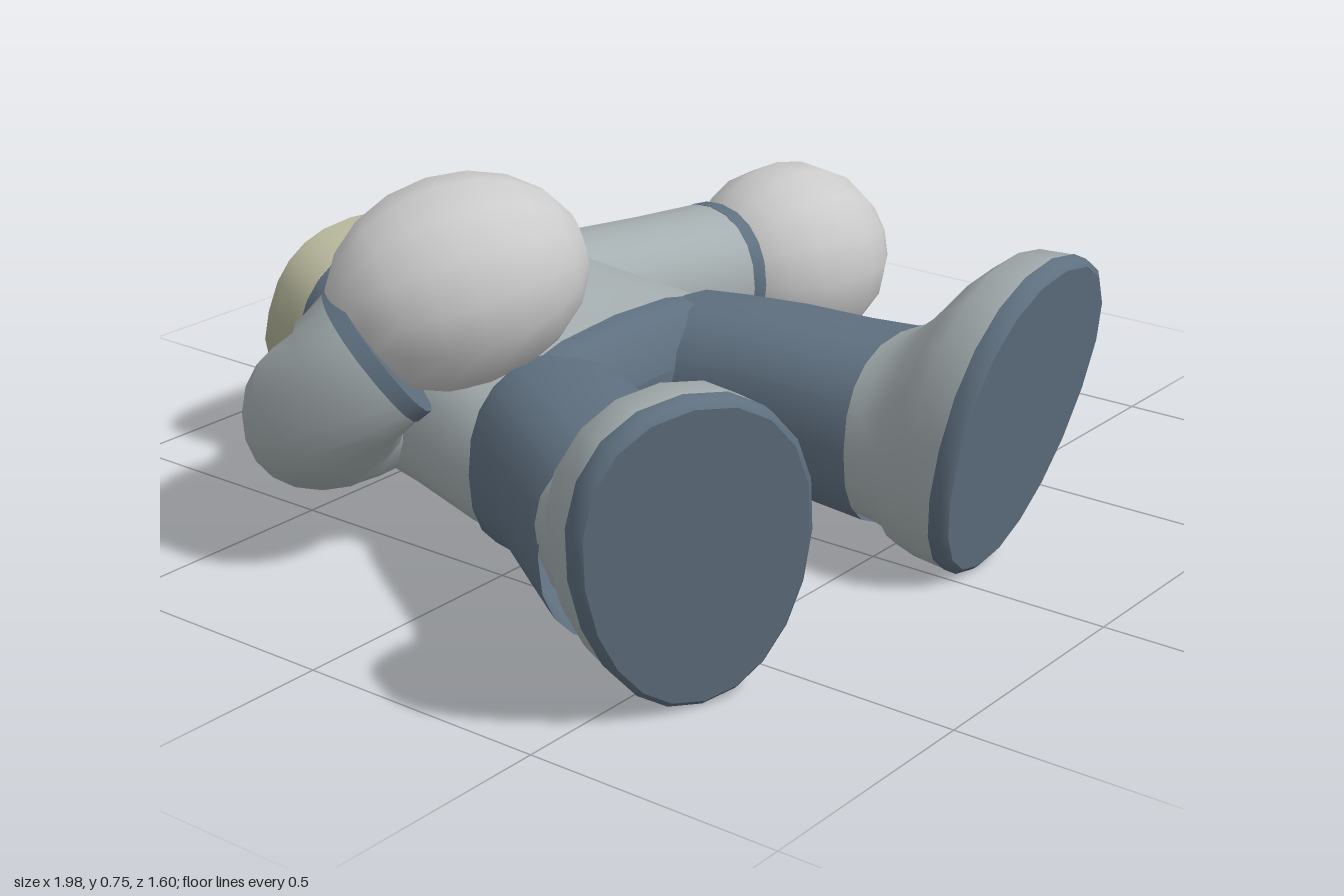
import * as THREE from 'three';

const mat = (color) => new THREE.MeshStandardMaterial({ color, side: THREE.DoubleSide });
const SIDES = 20;

// Skin through cross-sections [x, y, z, halfWidth, halfHeight, direction?].
// opt: power (superellipse), shear and taper (egg outlines), cap (close the end)
function loft(sections, { power = 2.2, shear = 0, taper = 0, cap = false } = {}) {
  const centres = sections.map((s) => new THREE.Vector3(s[0], s[1], s[2]));
  const pos = [], index = [];
  const bend = (t) => Math.sign(t) * Math.abs(t) ** (2 / power);
  sections.forEach((s, i) => {
    const d = s[5]
      ? new THREE.Vector3(...s[5])
      : centres[Math.min(i + 1, centres.length - 1)].clone().sub(centres[Math.max(i - 1, 0)]);
    d.normalize();
    const side = new THREE.Vector3(0, 1, 0).cross(d).normalize();
    const up = d.clone().cross(side);
    for (let j = 0; j < SIDES; j++) {
      const a = (j / SIDES) * Math.PI * 2;
      const v = bend(Math.sin(a));
      const w = bend(Math.cos(a)) * s[3] * (1 + taper * v) + shear * v * s[4];
      const p = centres[i].clone().addScaledVector(side, w).addScaledVector(up, v * s[4]);
      pos.push(p.x, p.y, p.z);
    }
  });
  for (let i = 0; i < sections.length - 1; i++) {
    for (let j = 0; j < SIDES; j++) {
      const k = (j + 1) % SIDES;
      const a = i * SIDES + j, b = i * SIDES + k;
      index.push(a, b, b + SIDES, a, b + SIDES, a + SIDES);
    }
  }
  if (cap) {
    // separate rim vertices keep the edge of the end face sharp
    const last = (sections.length - 1) * SIDES, rim = pos.length / 3;
    pos.push(...pos.slice(last * 3));
    pos.push(...centres[centres.length - 1].toArray());
    for (let j = 0; j < SIDES; j++) index.push(rim + SIDES, rim + j, rim + ((j + 1) % SIDES));
  }
  const g = new THREE.BufferGeometry();
  g.setAttribute('position', new THREE.Float32BufferAttribute(pos, 3));
  g.setIndex(index);
  g.computeVertexNormals();
  return g;
}

export function createModel() {
  const model = new THREE.Group();
  const cloth = mat(0xa5aeb0), dark = mat(0x5f7080), beige = mat(0xb2b298);
  const skin = new THREE.MeshStandardMaterial({ color: 0xcccccc });
  const add = (name, geometry, material, parent = model) => {
    const mesh = new THREE.Mesh(geometry, material);
    mesh.name = name;
    parent.add(mesh);
    return mesh;
  };

  // Torso, lying on its back with the neck towards -z
  const neckDir = [0, -0.32, 0.95], fwd = [0, 0, 1];
  add('shirt', loft([
    [-0.17, 0.31, -0.635, 0.185, 0.168, neckDir],
    [-0.17, 0.305, -0.6, 0.2, 0.178, [0, -0.25, 0.97]],
    [-0.17, 0.29, -0.54, 0.27, 0.193, [0, -0.15, 0.99]],
    [-0.16, 0.275, -0.42, 0.325, 0.202, [0, -0.05, 1]],
    [-0.16, 0.26, -0.25, 0.355, 0.208, fwd],
    [-0.16, 0.235, -0.08, 0.39, 0.208, fwd],
    [-0.16, 0.228, 0, 0.405, 0.206, fwd],
  ], { power: 2.5 }), cloth);
  add('neckBand', loft([
    [-0.17, 0.314, -0.667, 0.183, 0.167, neckDir],
    [-0.17, 0.31, -0.635, 0.185, 0.168, neckDir],
  ], { power: 2.5 }), dark);
  add('collar', loft([
    [-0.17, 0.335, -0.745, 0.188, 0.173, neckDir],
    [-0.17, 0.33, -0.72, 0.192, 0.174, neckDir],
    [-0.17, 0.314, -0.66, 0.191, 0.172, neckDir],
  ], { power: 2.6 }), beige);

  // Trousers
  add('trouserSeat', loft([
    [-0.16, 0.228, 0, 0.405, 0.206, fwd],
    [-0.16, 0.238, 0.05, 0.375, 0.193, fwd],
    [-0.16, 0.25, 0.085, 0.3, 0.15, fwd],
    [-0.16, 0.25, 0.1, 0.15, 0.08, fwd],
  ], { power: 2.5, cap: true }), dark);
  add('leftTrouserLeg', loft([
    [0.06, 0.23, 0, 0.184, 0.185, fwd],
    [0.067, 0.245, 0.12, 0.182, 0.18],
    [0.075, 0.26, 0.25, 0.18, 0.172],
    [0.083, 0.254, 0.38, 0.182, 0.178],
    [0.09, 0.25, 0.49, 0.184, 0.187, fwd],
  ], { power: 2.4 }), dark);
  add('rightTrouserLeg', loft([
    [-0.385, 0.23, 0, 0.182, 0.185, [-0.1, 0, 1]],
    [-0.437, 0.245, 0.11, 0.182, 0.18],
    [-0.51, 0.26, 0.22, 0.178, 0.172],
    [-0.575, 0.254, 0.325, 0.178, 0.178],
    [-0.635, 0.25, 0.425, 0.182, 0.187, [-0.41, 0, 0.91]],
  ], { power: 2.4 }), dark);

  // Shoes, mirrored; toes point up and the soles face forward
  const shoe = (name, s, position, turn) => {
    const g = new THREE.Group();
    g.name = name;
    g.position.set(...position);
    g.rotation.y = turn;
    model.add(g);
    const tilt = [0, -0.18, 0.98];
    const shape = { power: 2.15, shear: 0.15 * s, taper: 0.12 };
    add(name + 'Upper', loft([
      [0, 0, -0.02, 0.175, 0.178, fwd],
      [0, 0.005, 0.025, 0.178, 0.188, fwd],
      [0.01 * s, 0.025, 0.065, 0.188, 0.222, [0, -0.1, 1]],
      [0.02 * s, 0.055, 0.105, 0.208, 0.277, tilt],
      [0.025 * s, 0.068, 0.15, 0.222, 0.303, tilt],
      [0.025 * s, 0.066, 0.22, 0.228, 0.308, tilt],
    ], shape), cloth, g);
    add(name + 'Sole', loft([
      [0.025 * s, 0.066, 0.22, 0.229, 0.309, tilt],
      [0.025 * s, 0.063, 0.246, 0.229, 0.308, tilt],
      [0.025 * s, 0.062, 0.256, 0.217, 0.296, tilt],
    ], { ...shape, cap: true }), dark, g);
  };
  shoe('leftShoe', 1, [0.09, 0.25, 0.49], 0);
  shoe('rightShoe', -1, [-0.635, 0.25, 0.425], -0.36);

  // Left arm, stretched out sideways
  const leftDir = [0.97, 0, 0.23];
  add('leftSleeve', loft([
    [-0.02, 0.28, -0.43, 0.155, 0.17, leftDir],
    [0.1, 0.28, -0.425, 0.162, 0.16, leftDir],
    [0.22, 0.275, -0.405, 0.155, 0.147, leftDir],
    [0.4, 0.27, -0.36, 0.152, 0.146, leftDir],
    [0.56, 0.268, -0.318, 0.152, 0.147, leftDir],
  ]), cloth);
  add('leftCuff', loft([
    [0.56, 0.268, -0.318, 0.153, 0.148, leftDir],
    [0.592, 0.268, -0.31, 0.152, 0.147, leftDir],
  ], { cap: true }), dark);

  // Right arm, bent at the elbow and rising over the belly
  const rightDir = [0.6, 0.58, 0.55];
  add('rightSleeve', loft([
    [-0.28, 0.28, -0.42, 0.165, 0.175, [-1, 0, 0.1]],
    [-0.42, 0.27, -0.41, 0.165, 0.163, [-1, 0, 0.15]],
    [-0.54, 0.27, -0.385, 0.158, 0.152, [-0.95, 0.1, 0.3]],
    [-0.61, 0.29, -0.345, 0.152, 0.148, [-0.65, 0.45, 0.55]],
    [-0.64, 0.33, -0.295, 0.148, 0.146, [-0.1, 0.75, 0.65]],
    [-0.625, 0.39, -0.25, 0.146, 0.144, [0.4, 0.7, 0.6]],
    [-0.6, 0.425, -0.225, 0.146, 0.144, rightDir],
  ]), cloth);
  add('rightCuff', loft([
    [-0.6, 0.425, -0.225, 0.148, 0.146, rightDir],
    [-0.581, 0.443, -0.208, 0.147, 0.145, rightDir],
  ], { cap: true }), dark);

  // Ball hands, slightly longer along the forearm
  const hand = (name, centre, dir, length, radius) => {
    const m = add(name, new THREE.SphereGeometry(1, 14, 10), skin);
    m.position.set(...centre);
    m.scale.set(radius, length, radius);
    m.quaternion.setFromUnitVectors(
      new THREE.Vector3(0, 1, 0), new THREE.Vector3(...dir).normalize());
  };
  hand('leftHand', [0.77, 0.26, -0.257], leftDir, 0.23, 0.213);
  hand('rightHand', [-0.46, 0.555, -0.13], [0.75, 0.2, 0.5], 0.25, 0.2);

  return model;
}
